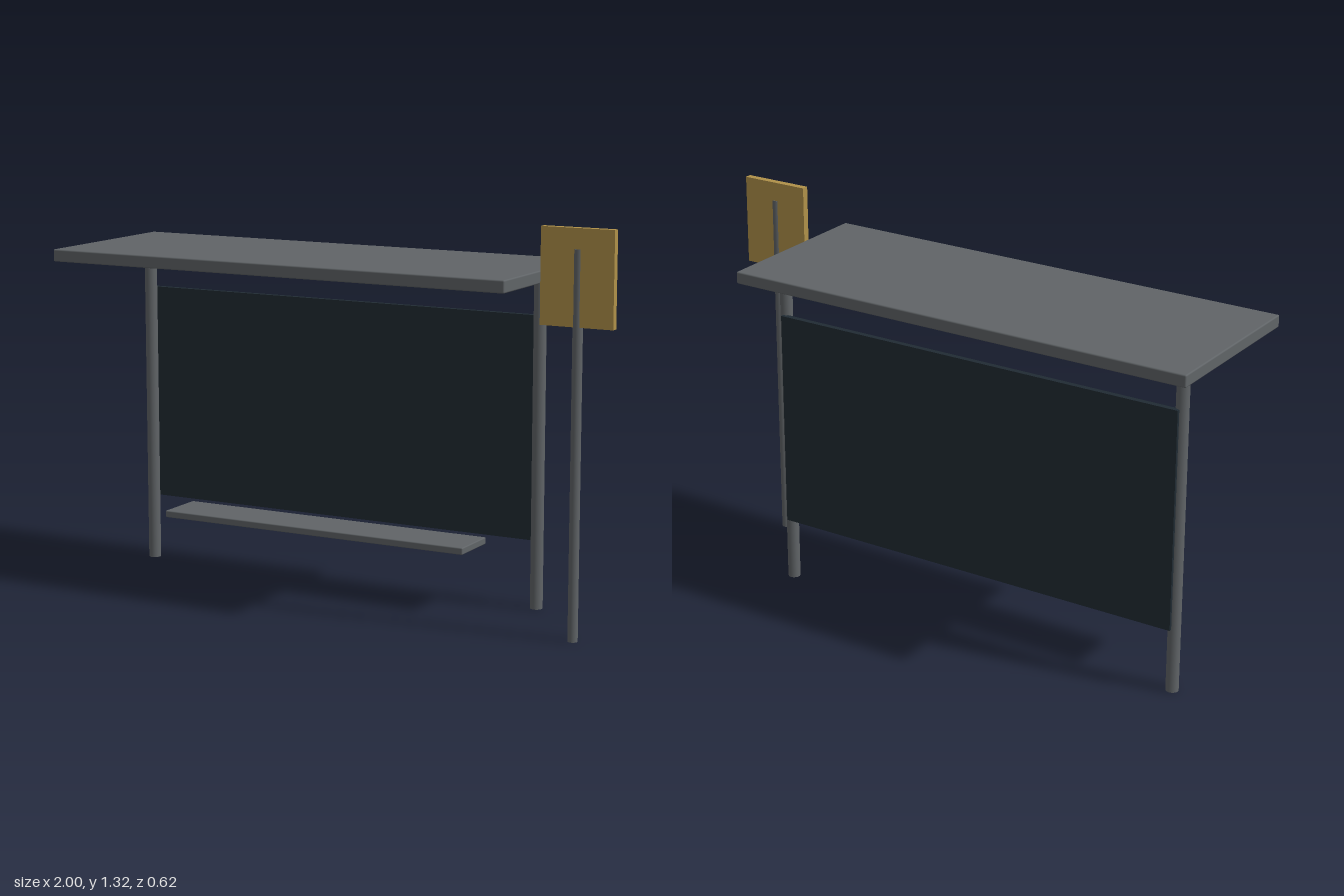
import * as THREE from 'three';
import { RoundedBoxGeometry } from 'three/addons/geometries/RoundedBoxGeometry.js';

export function createModel() {
  const shelter = new THREE.Group();
  shelter.name = 'busShelter';

  const material = (name, color) => {
    const m = new THREE.MeshStandardMaterial({ color });
    m.name = name;
    return m;
  };
  const steel = material('greySteel', 0x606467);
  const glass = material('darkPanel', 0x202b33);
  const yellow = material('signOchre', 0xb09149);

  const add = (name, geometry, mat, x, y, z) => {
    const mesh = new THREE.Mesh(geometry, mat);
    mesh.name = name;
    mesh.position.set(x, y, z);
    shelter.add(mesh);
  };

  // Slab given by its lower and upper corners, with an optional softened edge
  const slab = (name, mat, [x0, y0, z0], [x1, y1, z1], bevel = 0) => {
    const size = [x1 - x0, y1 - y0, z1 - z0];
    const geometry = bevel
      ? new RoundedBoxGeometry(...size, 2, bevel)
      : new THREE.BoxGeometry(...size);
    add(name, geometry, mat, (x0 + x1) / 2, (y0 + y1) / 2, (z0 + z1) / 2);
  };

  // Upright round post standing on the ground
  const post = (name, radius, height, x, z) =>
    add(name, new THREE.CylinderGeometry(radius, radius, height, 12), steel, x, height / 2, z);

  // Roof, rear posts, back panel and bench
  slab('roof', steel, [-1, 1.12, -0.31], [0.692, 1.162, 0.31], 0.005);
  post('rightPost', 0.0215, 1.125, -0.911, -0.155);
  post('leftPost', 0.0215, 1.125, 0.605, -0.155);
  slab('backPanel', glass, [-0.911, 0.227, -0.187], [0.605, 0.985, -0.168]);
  slab('bench', steel, [-0.733, 0.204, -0.133], [0.427, 0.228, 0.046], 0.004);

  // Free-standing stop sign: the pole shows slightly through both faces
  post('signPole', 0.0165, 1.254, 0.874, 0.158);
  slab('signBoard', yellow, [0.75, 1.01, 0.146], [0.998, 1.32, 0.17]);

  return shelter;
}
